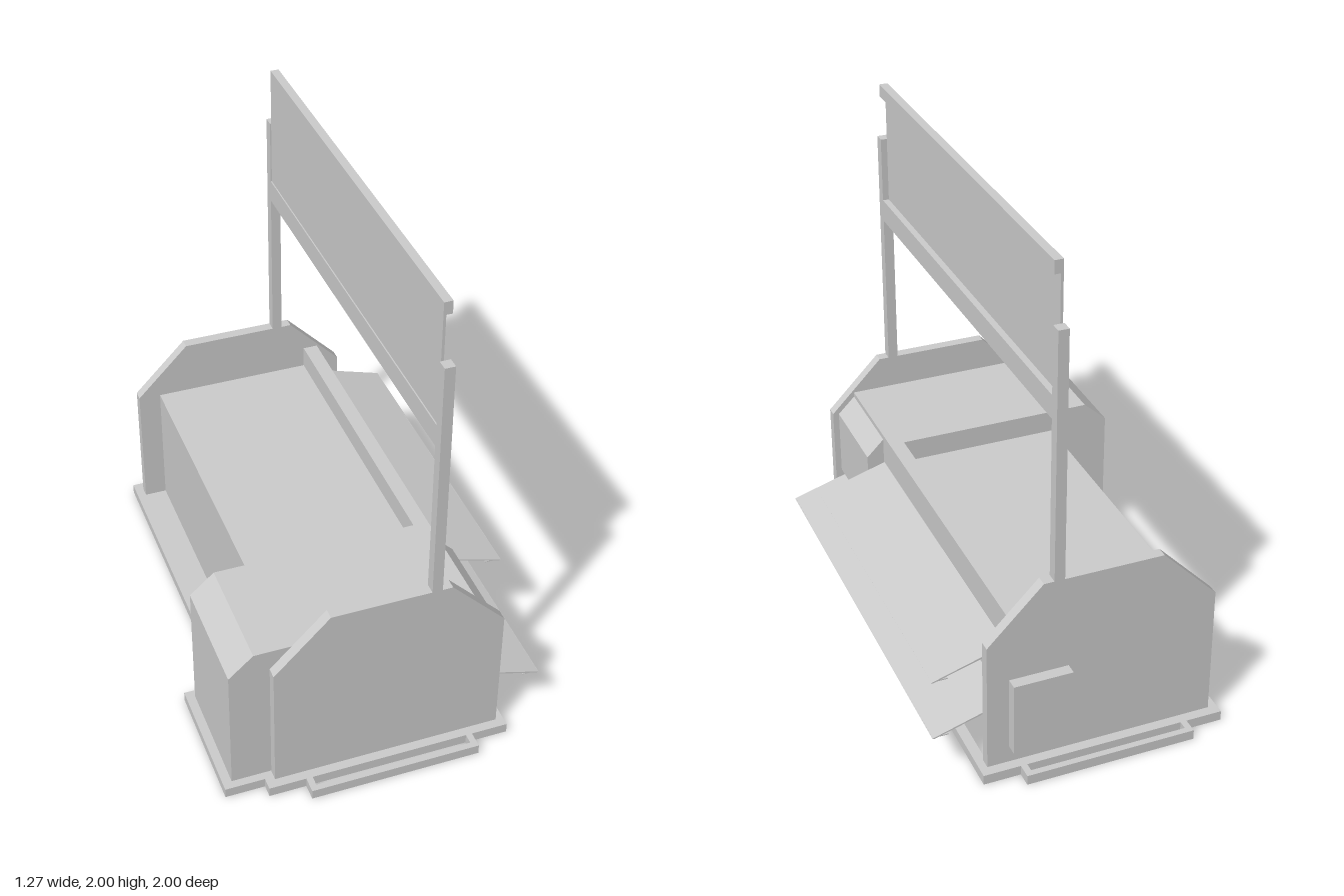
import * as THREE from 'three';

const grey = new THREE.MeshStandardMaterial({ color: 0xcccccc, flatShading: true, side: THREE.DoubleSide });

const toShape = pts => new THREE.Shape(pts.map(p => new THREE.Vector2(...p)));
const rect = (x0, y0, x1, y1) => [[x0, y0], [x1, y0], [x1, y1], [x0, y1]];

export function createModel() {
  const model = new THREE.Group();

  function add(name, geometry) {
    const mesh = new THREE.Mesh(geometry, grey);
    mesh.name = name;
    model.add(mesh);
    return mesh;
  }

  // Box given by its two extreme corners
  function box(name, x0, x1, y0, y1, z0, z1) {
    const g = new THREE.BoxGeometry(x1 - x0, y1 - y0, z1 - z0);
    g.translate((x0 + x1) / 2, (y0 + y1) / 2, (z0 + z1) / 2);
    return add(name, g);
  }

  // Solid x-y profile running from z0 to z1
  function prism(name, pts, z0, z1) {
    const g = new THREE.ExtrudeGeometry(toShape(pts), { depth: z1 - z0, bevelEnabled: false });
    return add(name, g.translate(0, 0, z0));
  }

  // Flat plan outline (x, z) standing on the ground, with an optional hole
  function slab(name, pts, height, hole) {
    const s = toShape(pts);
    if (hole) s.holes.push(new THREE.Path(hole.map(p => new THREE.Vector2(...p))));
    const g = new THREE.ExtrudeGeometry(s, { depth: height, bevelEnabled: false });
    return add(name, g.rotateX(Math.PI / 2).translate(0, height, 0));
  }

  // Thin sheet following an open x-y line from z0 to z1
  function sheet(name, pts, z0, z1) {
    const pos = [];
    for (let i = 0; i < pts.length - 1; i++) {
      const [a, b] = [pts[i], pts[i + 1]];
      pos.push(...a, z0, ...a, z1, ...b, z1, ...a, z0, ...b, z1, ...b, z0);
    }
    const g = new THREE.BufferGeometry();
    g.setAttribute('position', new THREE.Float32BufferAttribute(pos, 3));
    g.computeVertexNormals();
    return add(name, g);
  }

  // Base frame, open underneath, with a step around the wide end
  slab('baseFrame', [
    [-0.485, -0.94], [0.475, -0.94], [0.475, 0.935], [-0.485, 0.935],
    [-0.485, 0.885], [-0.64, 0.885], [-0.64, 0.36], [-0.485, 0.36],
  ], 0.04, rect(-0.36, -0.86, 0.435, 0.855));

  // Handle bars at both ends of the base
  for (const s of [-1, 1]) {
    const y0 = s * 0.935, y1 = s, yi = s * 0.975;
    slab('baseHandle', [
      [-0.34, y0], [-0.34, y1], [0.33, y1], [0.33, y0],
      [0.305, y0], [0.305, yi], [-0.315, yi], [-0.315, y0],
    ], 0.04);
  }

  // End panels and sign posts
  const panel = [[-0.45, 0.04], [-0.45, 0.57], [-0.235, 0.79], [0.23, 0.79], [0.445, 0.57], [0.445, 0.04]];
  for (const z of [-0.9, 0.855]) {
    prism('endPanel', panel, z, z + 0.043);
    box('signPost', 0.15, 0.19, 0.79, 1.77, z, z + 0.043);
  }
  box('endHatch', 0.13, 0.36, 0.11, 0.41, -0.945, -0.9);

  // Hollow body: low deck with a raised front wall
  const front = [[0.35, 0.655], [0.35, 0.155], [0.29, 0.155], [0.29, 0.04]];
  sheet('bodyShell', [[-0.36, 0.04], [-0.36, 0.565], [0.29, 0.565], [0.29, 0.655], ...front], -0.857, 0.39);

  // Wider, taller section at the front end
  const wide = [[-0.605, 0.04], [-0.605, 0.57], [-0.51, 0.655]];
  sheet('wideShell', [...wide, ...front], 0.39, 0.855);
  add('wideInnerWall', new THREE.ShapeGeometry(toShape(
    [...wide, [0.29, 0.655], [0.29, 0.565], [-0.36, 0.565], [-0.36, 0.04]])).translate(0, 0, 0.39));
  add('wideOuterWall', new THREE.ShapeGeometry(toShape(
    [...wide, [-0.3, 0.655], [-0.3, 0.04]])).translate(0, 0, 0.853));

  // Cabinet on the right-hand face
  prism('cabinet', [[0.35, 0.29], [0.42, 0.29], [0.42, 0.565], [0.35, 0.635]], 0.475, 0.855);

  // Sloping shelves, each with a thin level lip under its outer edge
  for (const [y, z1] of [[0.53, 0.47], [0.28, 0.855]]) {
    prism('shelf', [[0.35, y], [0.35, y - 0.008], [0.627, y - 0.09], [0.635, y - 0.087]], -0.85, z1);
    box('shelfLip', 0.57, 0.632, y - 0.09, y - 0.086, -0.845, z1 - 0.008);
  }

  // Overhead sign: thin board between two rails
  box('signLowerRail', 0.15, 0.19, 1.42, 1.51, -0.857, 0.855);
  box('signBoard', 0.155, 0.165, 1.51, 1.95, -0.857, 0.855);
  box('signUpperRail', 0.155, 0.188, 1.95, 2, -0.857, 0.855);

  return model;
}
